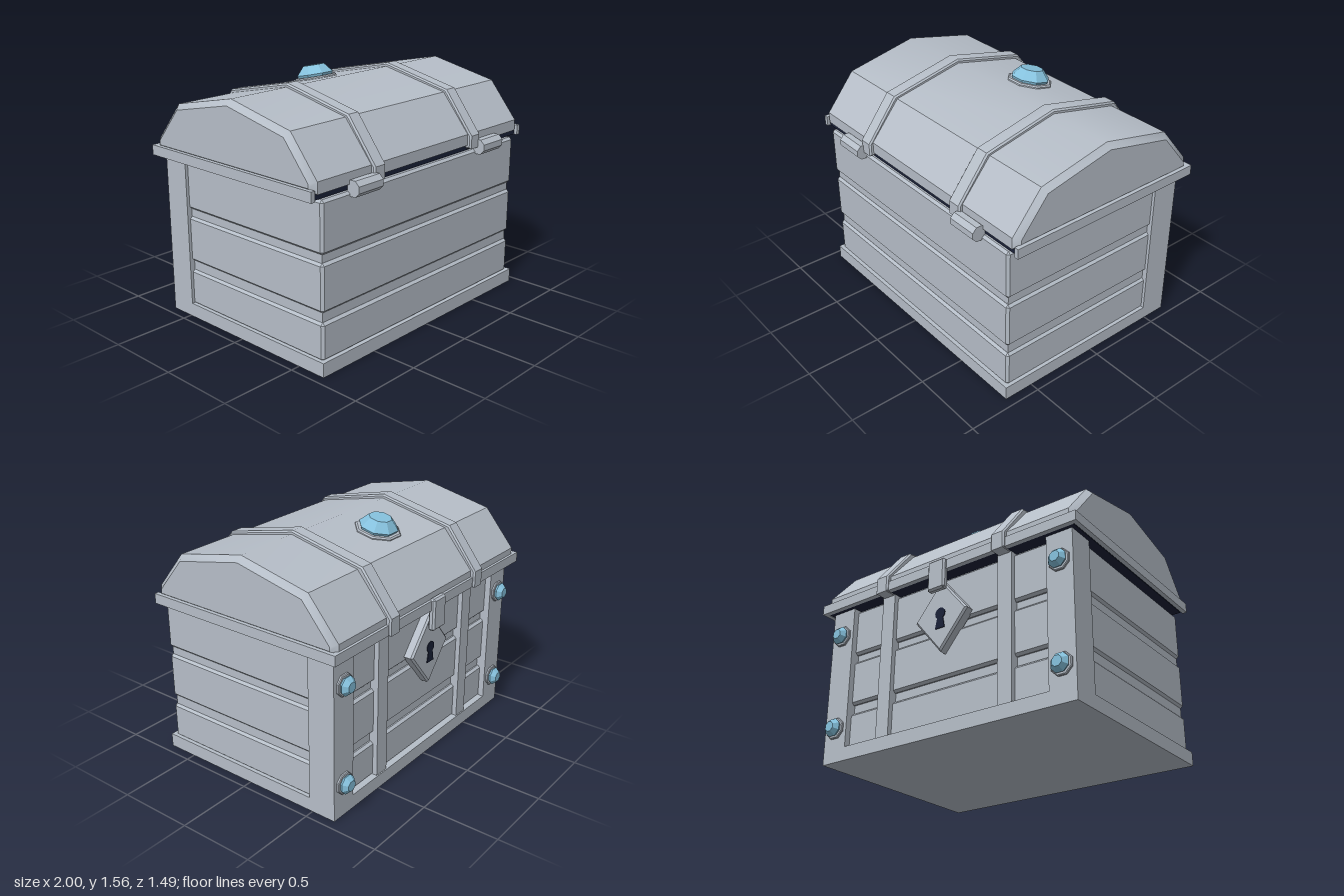
import * as THREE from 'three';
import { toCreasedNormals } from 'three/addons/utils/BufferGeometryUtils.js';
import { ConvexGeometry } from 'three/addons/geometries/ConvexGeometry.js';

const mat = (name, color) => {
  const m = new THREE.MeshStandardMaterial({ color });
  m.name = name;
  return m;
};

export function createModel() {
  const root = new THREE.Group();
  root.name = 'treasureChest';
  const grey = mat('paleGrey', 0xb6bec8);
  const blue = mat('gemBlue', 0x86c2de);
  const navy = mat('darkNavy', 0x1a2138);

  const add = (name, geo, material, parent = root) => {
    const m = new THREE.Mesh(geo, material);
    m.name = name;
    parent.add(m);
    return m;
  };

  // Plain box given by its limits
  const box = (name, x0, x1, y0, y1, z0, z1, material = grey) => {
    const m = add(name, new THREE.BoxGeometry(x1 - x0, y1 - y0, z1 - z0), material);
    m.position.set((x0 + x1) / 2, (y0 + y1) / 2, (z0 + z1) / 2);
    return m;
  };

  // Box with chamfered edges
  const chamferBox = (name, x0, x1, y0, y1, z0, z1, c) => {
    const h = [(x1 - x0) / 2, (y1 - y0) / 2, (z1 - z0) / 2];
    const pts = [];
    for (const sx of [-1, 1]) for (const sy of [-1, 1]) for (const sz of [-1, 1]) {
      for (let full = 0; full < 3; full++) {
        const d = h.map((v, i) => (i === full ? v : v - c));
        pts.push(new THREE.Vector3(sx * d[0], sy * d[1], sz * d[2]));
      }
    }
    const m = add(name, new ConvexGeometry(pts), grey);
    m.position.set((x0 + x1) / 2, (y0 + y1) / 2, (z0 + z1) / 2);
    return m;
  };

  // Profile of [z, y] points extruded along x, centred on x = 0
  const profileX = (pts, width, bevel) => {
    const shape = new THREE.Shape(pts.map(([z, y]) => new THREE.Vector2(-z, y)));
    const depth = width - 2 * bevel;
    const geo = new THREE.ExtrudeGeometry(shape, {
      depth, bevelEnabled: true, bevelThickness: bevel, bevelSize: bevel, bevelOffset: 0, bevelSegments: 1,
    });
    geo.translate(0, 0, -depth / 2);
    geo.rotateY(Math.PI / 2);
    return toCreasedNormals(geo, 0.5);
  };

  // Eight-sided faceted solid of revolution, axis along +y
  const facets = (pts) => {
    const geo = new THREE.LatheGeometry(pts.map(([r, y]) => new THREE.Vector2(r, y)), 8, Math.PI / 8);
    return toCreasedNormals(geo, 0.1);
  };

  // Body: base, recessed core and three plank courses
  box('base', -0.94, 0.94, 0, 0.09, -0.665, 0.7);
  box('core', -0.905, 0.905, 0.08, 1.04, -0.6, 0.66);
  for (const [y0, y1] of [[0.08, 0.32], [0.38, 0.68], [0.73, 1.05]]) {
    chamferBox('plank', -0.92, 0.92, y0, y1, -0.625, 0.677, 0.016);
  }

  // Corner posts and upright straps on the lock side
  for (const s of [-1, 1]) {
    const a = s * 0.76, b = s * 0.94;
    box('cornerPost', Math.min(a, b), Math.max(a, b), 0.09, 1.055, -0.665, -0.48);
    box('bodyStrap', s * 0.46 - 0.05, s * 0.46 + 0.05, 0.09, 1.055, -0.657, -0.6);
  }

  // Lid: dark underside, faceted barrel and three-sided rim
  box('lidUnderside', -0.965, 0.965, 1.056, 1.1, -0.695, 0.655, navy);
  add('lid', profileX([
    [0.635, 1.125], [0.635, 1.15], [0.45, 1.375], [-0.015, 1.475],
    [-0.48, 1.375], [-0.67, 1.15], [-0.67, 1.125],
  ], 1.96, 0.035), grey);
  box('rimFront', -1, 1, 1.055, 1.12, -0.722, -0.69);
  for (const s of [-1, 1]) {
    box('rimSide', s * 0.985 - 0.015, s * 0.985 + 0.015, 1.055, 1.12, -0.722, 0.675);
  }

  // Lid straps and hinges
  const strapGeo = profileX([
    [0.685, 1.078], [0.685, 1.15], [0.48, 1.415], [-0.015, 1.525],
    [-0.523, 1.415], [-0.725, 1.155], [-0.725, 1.06],
  ], 0.1, 0.01);
  const hingeGeo = toCreasedNormals(new THREE.CylinderGeometry(0.052, 0.052, 0.205, 8), 0.1);
  hingeGeo.rotateZ(Math.PI / 2);
  hingeGeo.rotateX(Math.PI / 8);
  for (const s of [-1, 1]) {
    add('lidStrap', strapGeo, grey).position.x = s * 0.46;
    add('hinge', hingeGeo, grey).position.set(s * 0.592, 1.07, 0.695);
  }

  // Lock: diamond plate, keyhole and hanging clasp
  const diamond = new THREE.Shape([[0, -0.225], [0.185, 0], [0, 0.225], [-0.185, 0]].map((p) => new THREE.Vector2(...p)));
  const plateGeo = toCreasedNormals(new THREE.ExtrudeGeometry(diamond, {
    depth: 0.055, bevelEnabled: true, bevelThickness: 0.012, bevelSize: 0.012, bevelSegments: 1,
  }), 0.1);
  const plate = add('lockPlate', plateGeo, grey);
  plate.rotation.y = Math.PI;
  plate.position.set(0, 0.77, -0.617);

  const hole = new THREE.Shape();
  hole.absarc(0, 0.03, 0.038, -Math.PI * 0.3, Math.PI * 1.3, false);
  hole.lineTo(-0.036, -0.07);
  hole.lineTo(0.036, -0.07);
  const keyhole = add('keyhole', new THREE.ExtrudeGeometry(hole, { depth: 0.006, bevelEnabled: false, curveSegments: 5 }), navy);
  keyhole.rotation.y = Math.PI;
  keyhole.position.set(0, 0.75, -0.683);

  chamferBox('clasp', -0.066, 0.066, 0.92, 1.13, -0.745, -0.7, 0.012);

  // Faceted gems in octagonal settings
  const gem = (scaleName, setting, stone, pos, tilt) => {
    const g = new THREE.Group();
    g.name = scaleName;
    add('setting', facets(setting), grey, g);
    add('stone', facets(stone), blue, g);
    g.position.set(...pos);
    g.rotation.x = tilt;
    root.add(g);
  };
  gem('lidGem',
    [[0.148, -0.02], [0.148, 0.01], [0.138, 0.018], [0, 0.018]],
    [[0.115, 0.01], [0.126, 0.034], [0.074, 0.092], [0, 0.092]],
    [0, 1.453, -0.27], -0.218);
  for (const s of [-1, 1]) for (const y of [0.225, 0.87]) {
    gem('postGem',
      [[0.072, -0.01], [0.072, 0.01], [0.066, 0.014], [0, 0.014]],
      [[0.05, 0.01], [0.062, 0.03], [0.034, 0.06], [0, 0.06]],
      [s * 0.85, y, -0.665], -Math.PI / 2);
  }
  return root;
}
